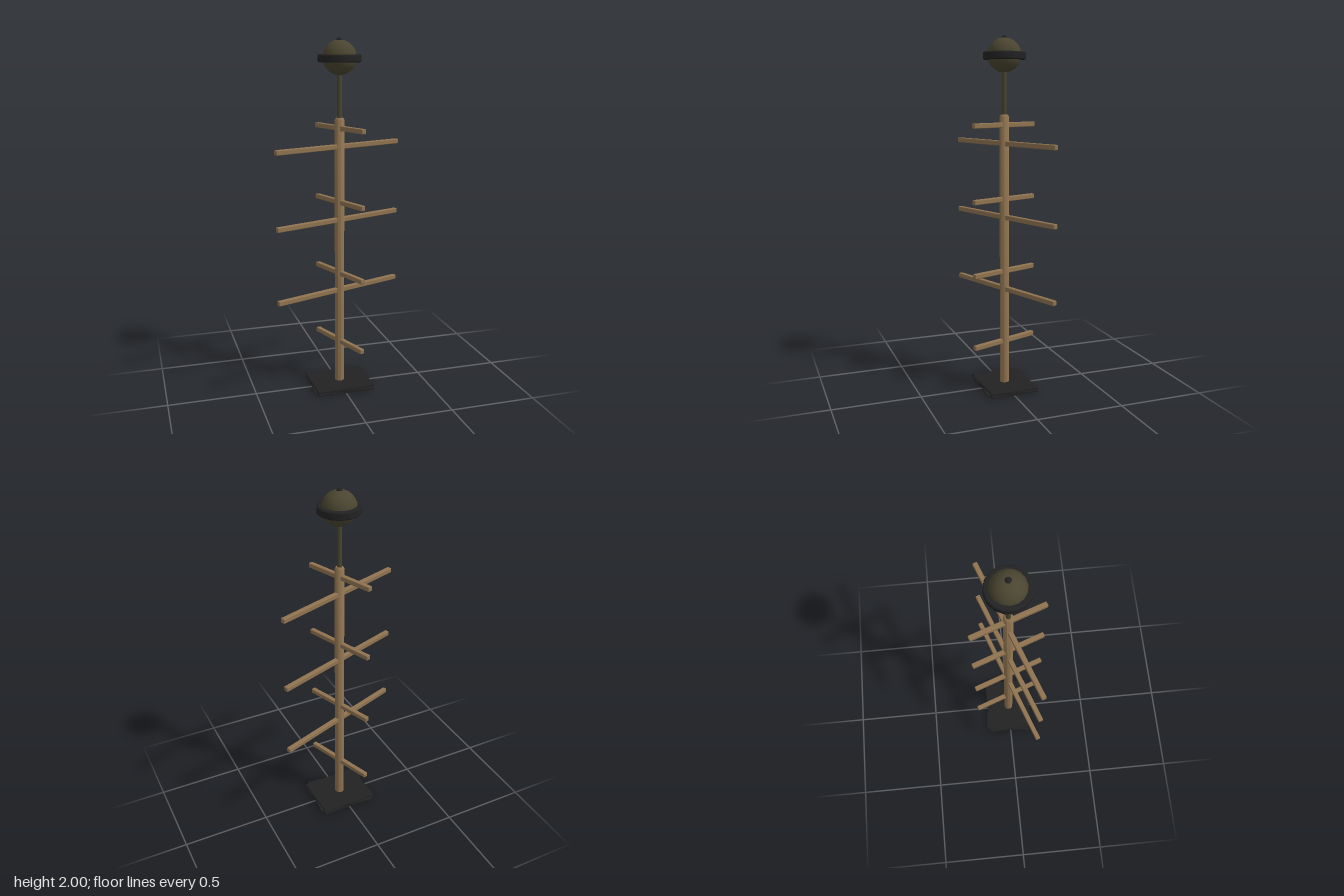
import * as THREE from 'three';
import { RoundedBoxGeometry } from 'three/addons/geometries/RoundedBoxGeometry.js';
import { toCreasedNormals } from 'three/addons/utils/BufferGeometryUtils.js';

const paint = (color) => new THREE.MeshStandardMaterial({ color });
const wood = paint(0x8f7350);
const bronze = paint(0x4a4530);
const black = paint(0x222222);

export function createModel() {
  const model = new THREE.Group();

  const add = (name, geometry, material, y = 0, turn = 0) => {
    const mesh = new THREE.Mesh(geometry, material);
    mesh.name = name;
    mesh.position.y = y;
    mesh.rotation.y = turn;
    model.add(mesh);
    return mesh;
  };
  const lathe = (points, sides) => toCreasedNormals(
    new THREE.LatheGeometry(points.map(([r, y]) => new THREE.Vector2(r, y)), sides), 0.6);

  // Base: thin stacked plates, the middle one twisted
  const plate = new THREE.BoxGeometry(0.335, 0.0085, 0.28);
  [0.03, -0.12, 0.03].forEach((turn, i) => add('basePlate', plate, black, 0.00425 + i * 0.0085, turn));

  // Wooden pole with a chamfered top
  add('pole', lathe([[0, 0.02], [0.027, 0.02], [0.027, 1.56], [0.02, 1.571], [0, 1.571]], 10), wood);

  // Crossbars: short and long alternate, at right angles to each other
  const shortBar = new RoundedBoxGeometry(0.437, 0.028, 0.027, 2, 0.005);
  const longBar = new RoundedBoxGeometry(0.83, 0.028, 0.027, 2, 0.005);
  const angle = THREE.MathUtils.degToRad(20);
  const step = 0.4137;
  for (let i = 0; i < 4; i++) {
    add('shortCrossbar', shortBar, wood, 0.273 + i * step, angle - Math.PI / 2);
    if (i < 3) add('longCrossbar', longBar, wood, 0.585 + i * step, angle);
  }

  // Metal rod carrying the ball
  add('rod', new THREE.CylinderGeometry(0.0135, 0.0135, 0.26, 10), bronze, 1.69);
  add('ball', new THREE.SphereGeometry(0.094, 16, 10), bronze, 1.893);

  // Band around the ball
  add('band', lathe([
    [0.088, 1.868], [0.113, 1.868], [0.118, 1.873], [0.118, 1.905],
    [0.113, 1.91], [0.088, 1.91], [0.088, 1.868],
  ], 14), black);

  // Finial on top
  add('finial', lathe([[0, 1.965], [0.016, 1.97], [0.017, 1.984], [0.01, 1.995], [0, 2]], 10), black);

  return model;
}
